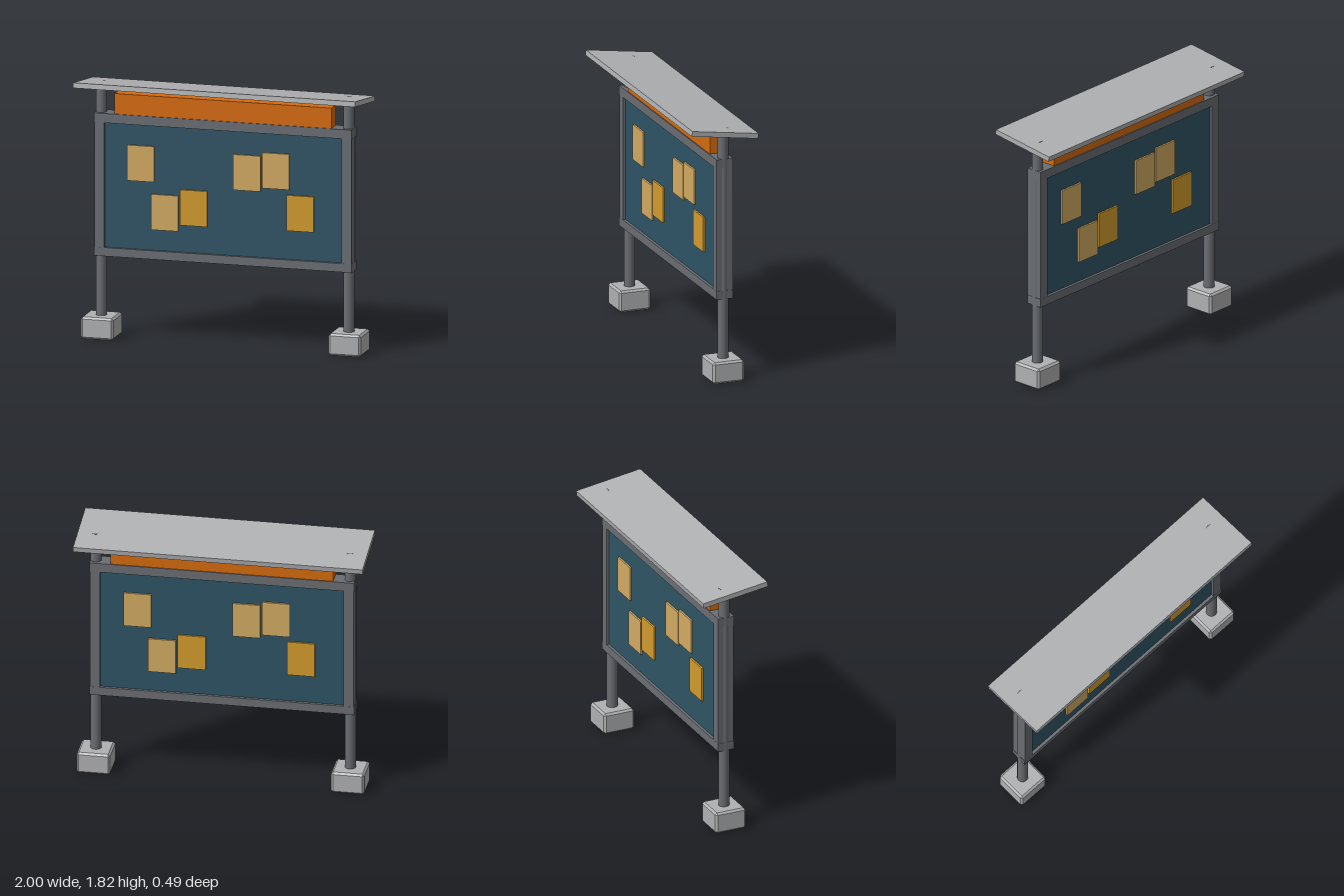
import * as THREE from 'three';
import { ConvexGeometry } from 'three/addons/geometries/ConvexGeometry.js';

const material = (name, color) => {
  const m = new THREE.MeshStandardMaterial({ color });
  m.name = name;
  return m;
};

// Box given by its limits on each axis
function box(name, mat, [x0, x1], [y0, y1], [z0, z1]) {
  const mesh = new THREE.Mesh(new THREE.BoxGeometry(x1 - x0, y1 - y0, z1 - z0), mat);
  mesh.position.set((x0 + x1) / 2, (y0 + y1) / 2, (z0 + z1) / 2);
  mesh.name = name;
  return mesh;
}

// Box with every edge cut by a flat chamfer
function chamferedBox(w, h, d, c) {
  const points = [];
  for (const sx of [-1, 1]) for (const sy of [-1, 1]) for (const sz of [-1, 1]) {
    for (const [a, b, e] of [[0, c, c], [c, 0, c], [c, c, 0]]) {
      points.push(new THREE.Vector3(sx * (w / 2 - a), sy * (h / 2 - b), sz * (d / 2 - e)));
    }
  }
  return new ConvexGeometry(points);
}

export function createModel() {
  const concrete = material('light grey', 0xb0b1b3);
  const steel = material('dark grey', 0x6a6d72);
  const teal = material('teal', 0x2f5465);
  const orange = material('orange', 0xd66b0c);
  const tan = material('tan paper', 0xd3ab63);
  const amber = material('amber paper', 0xd39c2d);

  const model = new THREE.Group();
  model.name = 'noticeBoard';

  // Everything below the roof is centred on the post line
  const stand = new THREE.Group();
  stand.name = 'stand';
  stand.position.z = -0.03;
  model.add(stand);

  // Feet, posts and frame sides
  const footGeometry = chamferedBox(0.23, 0.153, 0.228, 0.014);
  const postGeometry = new THREE.CylinderGeometry(0.038, 0.038, 1.683, 24);
  for (const [side, s] of [['right', -1], ['left', 1]]) {
    const foot = new THREE.Mesh(footGeometry, concrete);
    foot.name = side + 'Foot';
    foot.position.set(s * 0.878, 0.0765, 0);
    const post = new THREE.Mesh(postGeometry, steel);
    post.name = side + 'Post';
    post.position.set(s * 0.878, 0.9415, 0);
    const inner = s * 0.842, outer = s * 0.911;
    const stile = box(side + 'FrameSide', steel,
      [Math.min(inner, outer), Math.max(inner, outer)], [0.63, 1.515], [-0.059, 0.059]);
    stand.add(foot, post, stile);
  }

  // Frame rails, panel and header sign
  stand.add(
    box('topRail', steel, [-0.914, 0.914], [1.508, 1.573], [-0.06, 0.06]),
    box('bottomRail', steel, [-0.914, 0.914], [0.576, 0.636], [-0.06, 0.06]),
    box('panel', teal, [-0.85, 0.85], [0.62, 1.52], [-0.04, 0.04]),
    box('headerSign', orange, [-0.768, 0.768], [1.57, 1.716], [-0.053, 0.053]),
  );

  // Pinned sheets: centre x, centre y, paper; repeated on the back by a half turn
  const sheets = [
    [-0.585, 1.238, tan], [-0.415, 0.905, tan], [-0.209, 0.95, amber],
    [0.168, 1.222, tan], [0.373, 1.248, tan], [0.545, 0.962, amber],
  ];
  for (const [name, turn] of [['frontSheets', 0], ['backSheets', Math.PI]]) {
    const group = new THREE.Group();
    group.name = name;
    group.rotation.y = turn;
    for (const [x, y, paper] of sheets) {
      group.add(box('sheet', paper,
        [x - 0.096, x + 0.096], [y - 0.124, y + 0.124], [0.039, 0.053]));
    }
    stand.add(group);
  }

  // Roof board, tilted up at the front
  const roof = new THREE.Mesh(new THREE.BoxGeometry(2, 0.036, 0.488), concrete);
  roof.name = 'roof';
  roof.position.set(0, 1.773, 0);
  roof.rotation.x = -THREE.MathUtils.degToRad(8);
  model.add(roof);

  return model;
}
